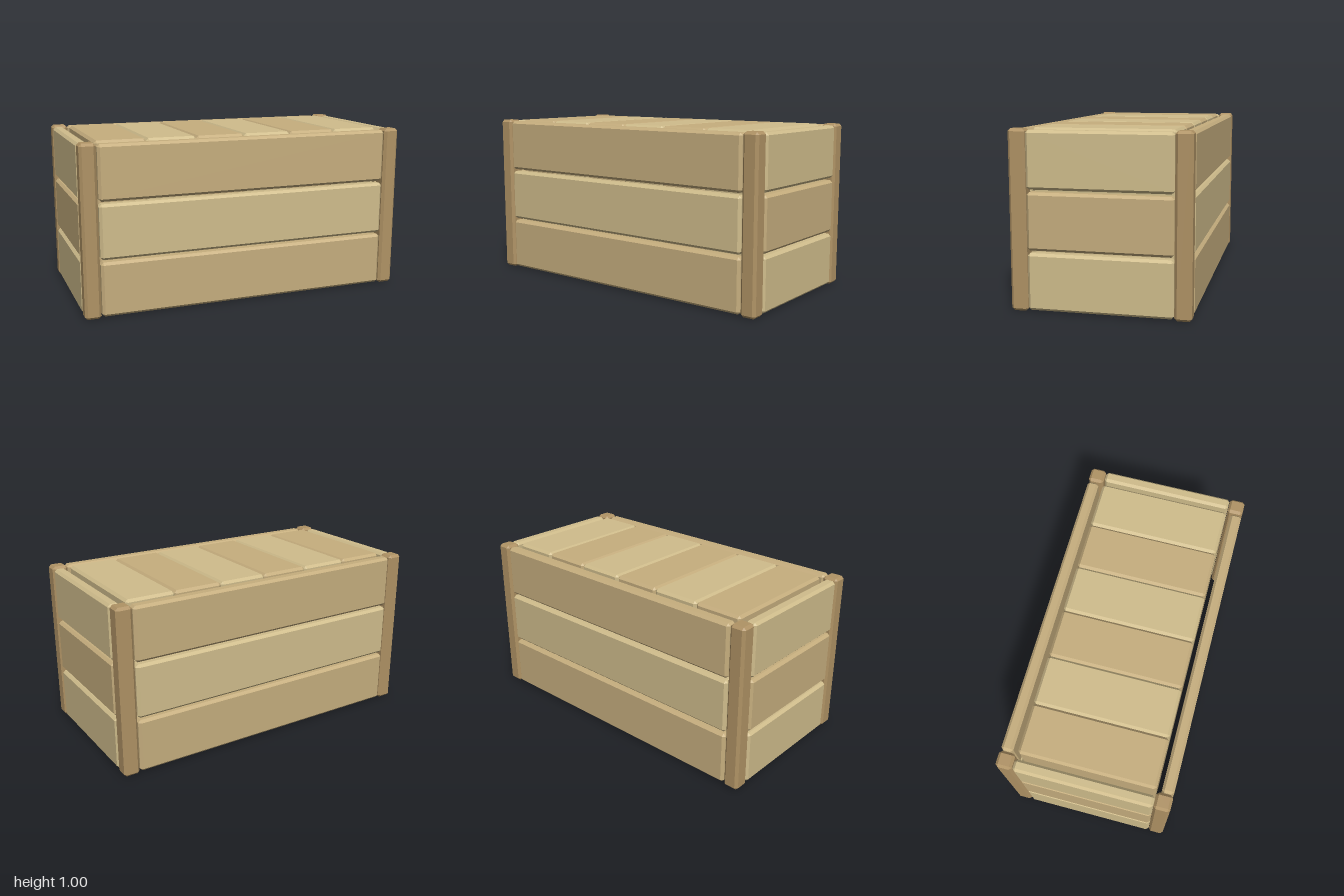
import * as THREE from 'three';
import { ConvexGeometry } from 'three/addons/geometries/ConvexGeometry.js';

const CHAMFER = 0.015;
const wood = (color) => new THREE.MeshStandardMaterial({ color, flatShading: true });

// Box with every edge and corner cut at an angle
function chamferBox(w, h, d, c = CHAMFER) {
  const [x, y, z] = [w / 2, h / 2, d / 2];
  const points = [];
  for (const i of [-1, 1]) for (const j of [-1, 1]) for (const k of [-1, 1]) {
    points.push(
      new THREE.Vector3(i * x, j * (y - c), k * (z - c)),
      new THREE.Vector3(i * (x - c), j * y, k * (z - c)),
      new THREE.Vector3(i * (x - c), j * (y - c), k * z)
    );
  }
  return new ConvexGeometry(points);
}

export function createModel() {
  const crate = new THREE.Group();
  crate.name = 'woodenCrate';
  const light = wood(0xd0bd8c), mid = wood(0xc6ae7e), dark = wood(0xb09365);

  const add = (name, geometry, material, x, y, z) => {
    const mesh = new THREE.Mesh(geometry, material);
    mesh.name = name;
    mesh.position.set(x, y, z);
    crate.add(mesh);
  };

  // Corner posts
  const post = chamferBox(0.095, 1, 0.095);
  for (const sx of [-1, 1]) for (const sz of [-1, 1])
    add('cornerPost', post, dark, sx * 0.9525, 0.5, sz * 0.4525);

  // Three stacked planks on each of the four sides, in alternating tones
  const longPlank = chamferBox(1.8, 0.319, 0.07);
  const shortPlank = chamferBox(0.07, 0.319, 0.806);
  for (let row = 0; row < 3; row++) {
    const y = 0.5 + (row - 1) * 0.333;
    const odd = row % 2 === 1;
    for (const s of [-1, 1]) {
      add(s > 0 ? 'frontPlank' : 'backPlank', longPlank, odd ? light : mid, 0, y, s * 0.464);
      add(s > 0 ? 'leftPlank' : 'rightPlank', shortPlank, odd ? mid : light, s * 0.964, y, 0);
    }
  }

  // Six upright slabs fill the crate and form its lid and floor
  const slab = chamferBox(0.299, 1, 0.8);
  for (let i = 0; i < 6; i++)
    add('innerSlab', slab, i % 2 ? light : mid, -0.7475 + i * 0.299, 0.5, 0);

  return crate;
}
